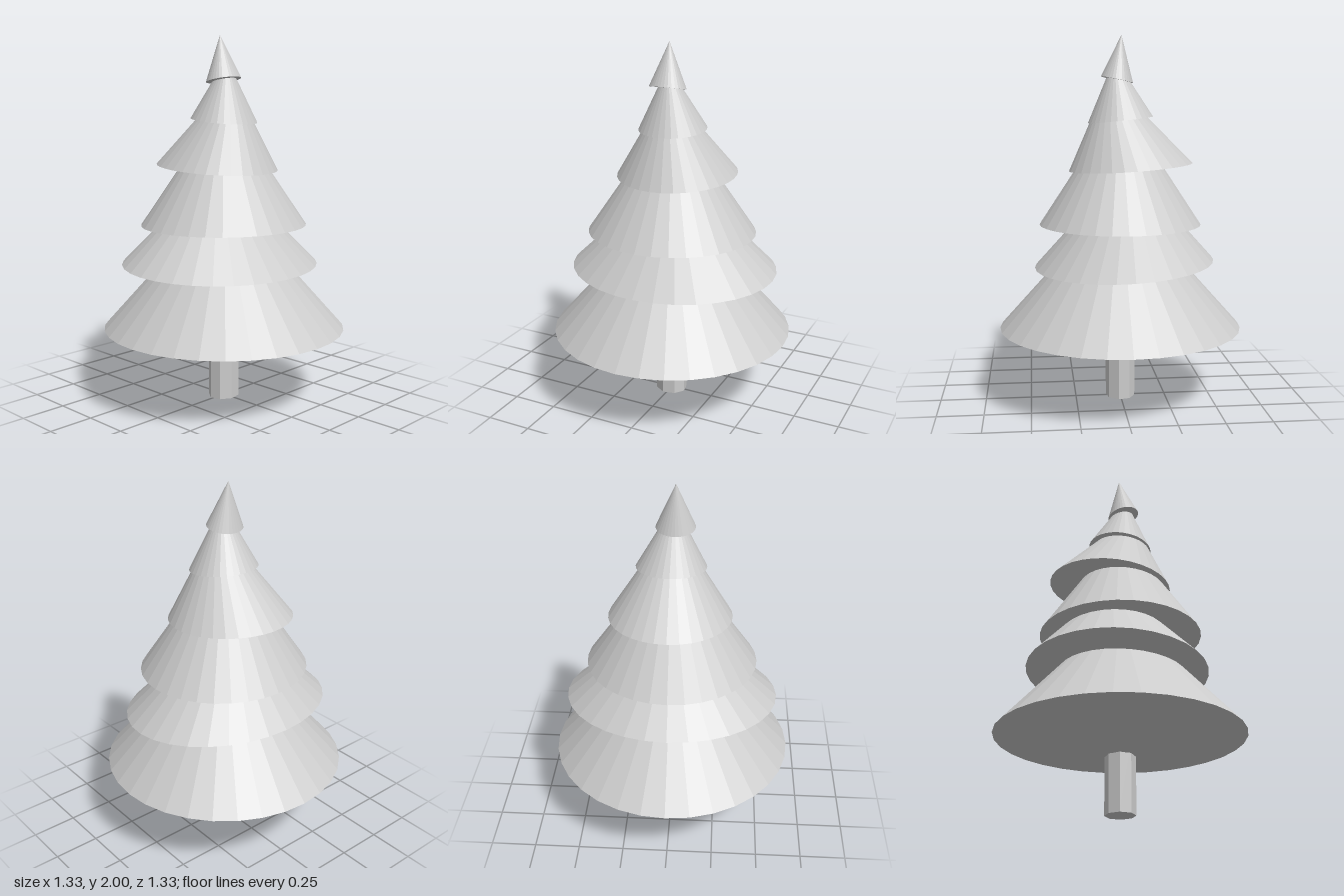
import * as THREE from 'three';

const SIDES = 32;
const material = new THREE.MeshStandardMaterial({ color: 0xcccccc, flatShading: true, side: THREE.DoubleSide });

// Skewed cone: elliptical rim (centre, half widths, tilt from left to right) rising to an offset apex
function tierGeometry({ rim, rx, rz, tilt, apex }) {
  const geometry = new THREE.ConeGeometry(1, 1, SIDES);
  const pos = geometry.attributes.position;
  for (let i = 0; i < pos.count; i++) {
    if (pos.getY(i) > 0) {
      pos.setXYZ(i, ...apex);
    } else {
      const x = pos.getX(i), z = pos.getZ(i);
      pos.setXYZ(i, rim[0] + x * rx, rim[1] + x * tilt, rim[2] + z * rz);
    }
  }
  geometry.computeVertexNormals();
  return geometry;
}

export function createModel() {
  const tree = new THREE.Group();
  tree.name = 'tree';
  const add = (name, geometry) => {
    const mesh = new THREE.Mesh(geometry, material);
    mesh.name = name;
    tree.add(mesh);
  };

  // Eight-sided trunk, slightly deeper than wide
  const trunk = new THREE.CylinderGeometry(1, 1, 0.36, 8);
  trunk.rotateY(-11 * Math.PI / 180);
  trunk.scale(0.081, 1, 0.089);
  trunk.translate(0, 0.18, 0.002);
  add('trunk', trunk);

  // Lowest tier with a shallow funnel-shaped underside
  const profile = [[0, 0.29], [0.6, 0.403], [0.665, 0.408], [0, 1.15]];
  add('lowestTier', new THREE.LatheGeometry(profile.map(p => new THREE.Vector2(...p)), SIDES));

  // Upper tiers, each leaning a little differently
  const tiers = [
    { rim: [-0.02, 0.765, 0], rx: 0.49, rz: 0.585, tilt: -0.025, apex: [-0.04, 1.31, 0] },
    { rim: [0, 0.98, 0], rx: 0.442, rz: 0.465, tilt: 0, apex: [0, 1.65, 0] },
    { rim: [-0.058, 1.292, -0.005], rx: 0.338, rz: 0.328, tilt: -0.023, apex: [0.062, 1.77, 0] },
    { rim: [-0.002, 1.547, -0.003], rx: 0.177, rz: 0.185, tilt: -0.018, apex: [0.028, 1.88, 0.01] },
    { rim: [0.015, 1.762, 0.018], rx: 0.087, rz: 0.102, tilt: 0.018, apex: [-0.01, 2, 0.02] },
  ];
  tiers.forEach((tier, i) => add(i === tiers.length - 1 ? 'treeTop' : `upperTier${i + 1}`, tierGeometry(tier)));

  return tree;
}
